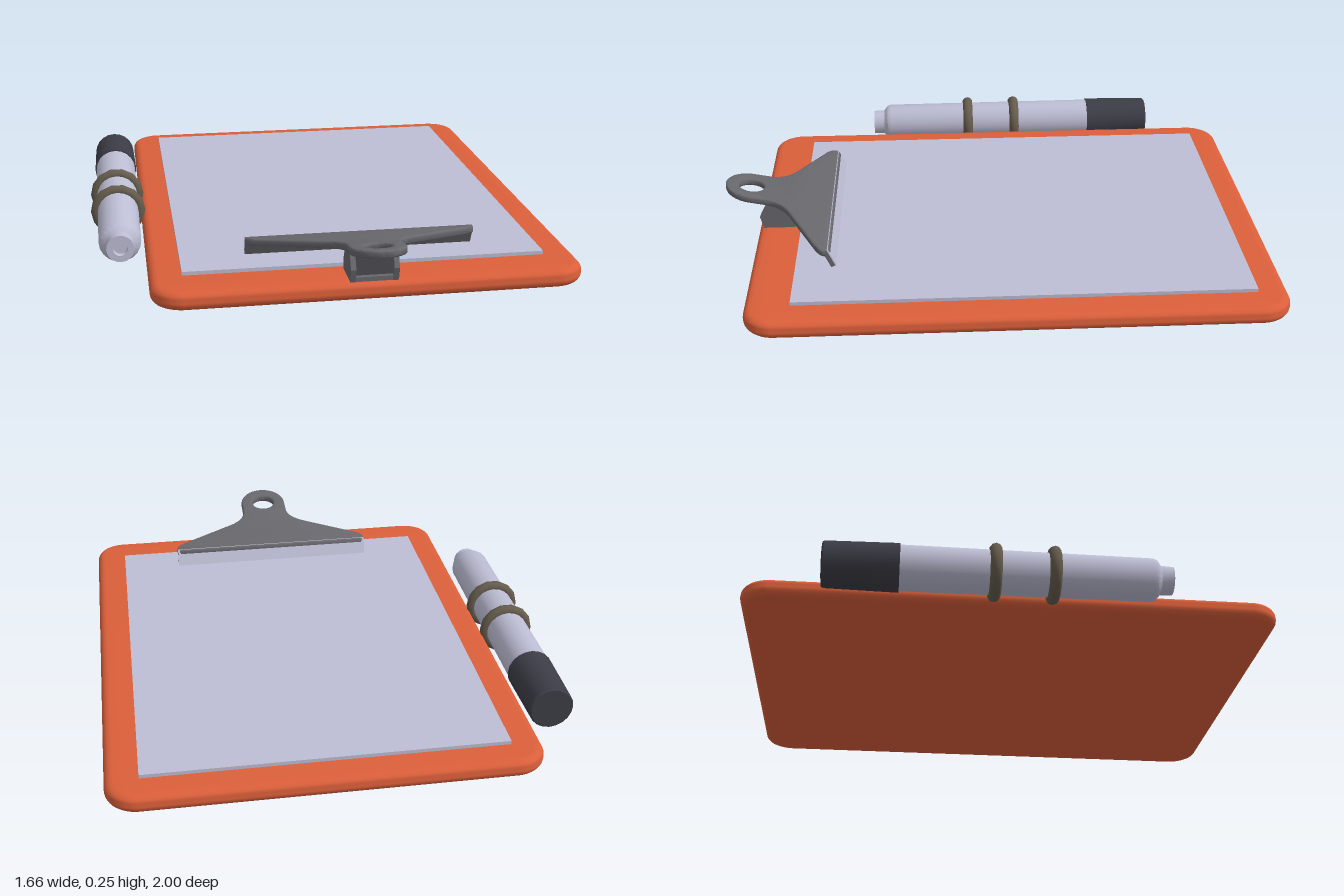
import * as THREE from 'three';
import { toCreasedNormals } from 'three/addons/utils/BufferGeometryUtils.js';

const material = (name, color) => new THREE.MeshStandardMaterial({ name, color });

export function createModel() {
  const orange = material('orange board', 0xdb5f3a);
  const paperGrey = material('pale lilac', 0xbdbdd4);
  const clipGrey = material('clip grey', 0x68676c);
  const springGrey = material('dark spring grey', 0x4c4b50);
  const capDark = material('cap charcoal', 0x3c3c46);
  const ringBrown = material('ring brown', 0x655c4d);

  const model = new THREE.Group();
  model.name = 'clipboard';

  const add = (name, geometry, mat, parent = model) => {
    const mesh = new THREE.Mesh(geometry, mat);
    mesh.name = name;
    parent.add(mesh);
    return mesh;
  };
  const group = (name, x, y, z) => {
    const g = new THREE.Group();
    g.name = name;
    g.position.set(x, y, z);
    model.add(g);
    return g;
  };

  // Rounded rectangle outline, centred on the origin
  const roundedRect = (w, d, r) => {
    const s = new THREE.Shape();
    const x = w / 2 - r, y = d / 2 - r;
    s.absarc(x, y, r, 0, Math.PI / 2);
    s.absarc(-x, y, r, Math.PI / 2, Math.PI);
    s.absarc(-x, -y, r, Math.PI, Math.PI * 1.5);
    s.absarc(x, -y, r, Math.PI * 1.5, Math.PI * 2);
    return s;
  };

  // Board with softly rounded rim
  const rim = 0.03;
  const boardGeo = new THREE.ExtrudeGeometry(roundedRect(1.475 - 2 * rim, 1.88 - 2 * rim, 0.08), {
    depth: 0.005, bevelEnabled: true, bevelSize: rim, bevelThickness: rim, bevelSegments: 5, curveSegments: 10,
  });
  boardGeo.rotateX(Math.PI / 2);
  add('board', toCreasedNormals(boardGeo, 0.7), orange).position.set(0.0925, 0.065, -0.06);

  // Sheet of paper
  add('paper', new THREE.BoxGeometry(1.25, 0.016, 1.61), paperGrey).position.set(0.09, 0.1, -0.085);

  // Clip
  const clip = group('clip', 0.09, 0, 0);

  // Lever outline: wide jaw, curved neck and ring end
  const lever = new THREE.Shape();
  lever.moveTo(-0.385, 0.6);
  lever.lineTo(0.385, 0.6);
  lever.quadraticCurveTo(0.41, 0.618, 0.37, 0.642);
  lever.lineTo(0.16, 0.748);
  lever.quadraticCurveTo(0.088, 0.785, 0.088, 0.85);
  lever.lineTo(0.088, 0.905);
  lever.absarc(0, 0.905, 0.088, 0, Math.PI);
  lever.lineTo(-0.088, 0.85);
  lever.quadraticCurveTo(-0.088, 0.785, -0.16, 0.748);
  lever.lineTo(-0.37, 0.642);
  lever.quadraticCurveTo(-0.41, 0.618, -0.385, 0.6);
  const hole = new THREE.Path();
  hole.absarc(0, 0.905, 0.053, 0, Math.PI * 2, true);
  lever.holes.push(hole);
  const leverGeo = new THREE.ExtrudeGeometry(lever, {
    depth: 0.012, bevelEnabled: true, bevelSize: 0.007, bevelThickness: 0.008, bevelSegments: 3, curveSegments: 16,
  });
  leverGeo.rotateX(Math.PI / 2);
  // Tilt the lever so the ring end stands highest
  const p = leverGeo.attributes.position;
  for (let i = 0; i < p.count; i++) p.setY(i, p.getY(i) + 0.167 + 0.2 * (p.getZ(i) - 0.6));
  add('clipLever', toCreasedNormals(leverGeo, 0.7), clipGrey, clip);

  // Jaw lip pressing on the paper, with its pale outer face
  const lip = new THREE.Group();
  lip.name = 'clipLip';
  lip.position.set(0, 0.141, 0.598);
  lip.rotation.x = 0.43;
  clip.add(lip);
  add('lipBody', new THREE.BoxGeometry(0.8, 0.068, 0.016), clipGrey, lip);
  add('lipFace', new THREE.BoxGeometry(0.8, 0.068, 0.004), paperGrey, lip).position.z = -0.01;

  // Bracket: base, two cheeks and the spring block between them
  const cheek = new THREE.Shape([
    [0.745, 0.09], [0.86, 0.09], [0.873, 0.14], [0.845, 0.195], [0.765, 0.185], [0.74, 0.135],
  ].map(([z, y]) => new THREE.Vector2(-z, y)));
  for (const side of [-1, 1]) {
    const g = new THREE.ExtrudeGeometry(cheek, { depth: 0.018, bevelEnabled: false });
    g.rotateY(Math.PI / 2);
    add('bracketCheek', g, clipGrey, clip).position.x = side * 0.073 - 0.009;
  }
  add('bracketBase', new THREE.BoxGeometry(0.15, 0.018, 0.115), clipGrey, clip).position.set(0, 0.1, 0.8025);
  add('springBlock', new THREE.BoxGeometry(0.128, 0.085, 0.085), springGrey, clip).position.set(0, 0.15, 0.8);

  // Marker, turned around the z axis
  const marker = group('marker', -0.732, 0.105, 0);
  const turned = (points) => {
    const g = new THREE.LatheGeometry(points.map(([r, z]) => new THREE.Vector2(r, z)), 20);
    g.rotateX(Math.PI / 2);
    return toCreasedNormals(g, 0.6);
  };
  add('markerBody', turned([
    [0, -0.47], [0.079, -0.47], [0.075, 0.395], [0.07, 0.41], [0.051, 0.425],
    [0.049, 0.468], [0.026, 0.468], [0.024, 0.45], [0, 0.45],
  ]), paperGrey, marker);
  add('markerCap', turned([
    [0, -0.718], [0.075, -0.718], [0.08, -0.712], [0.084, -0.46], [0.076, -0.46],
  ]), capDark, marker);

  // Holder rings joining the marker to the board
  for (const z of [0.06, -0.14]) {
    add('holderRing', new THREE.TorusGeometry(0.081, 0.021, 10, 14), ringBrown, marker).position.z = z;
  }

  return model;
}
